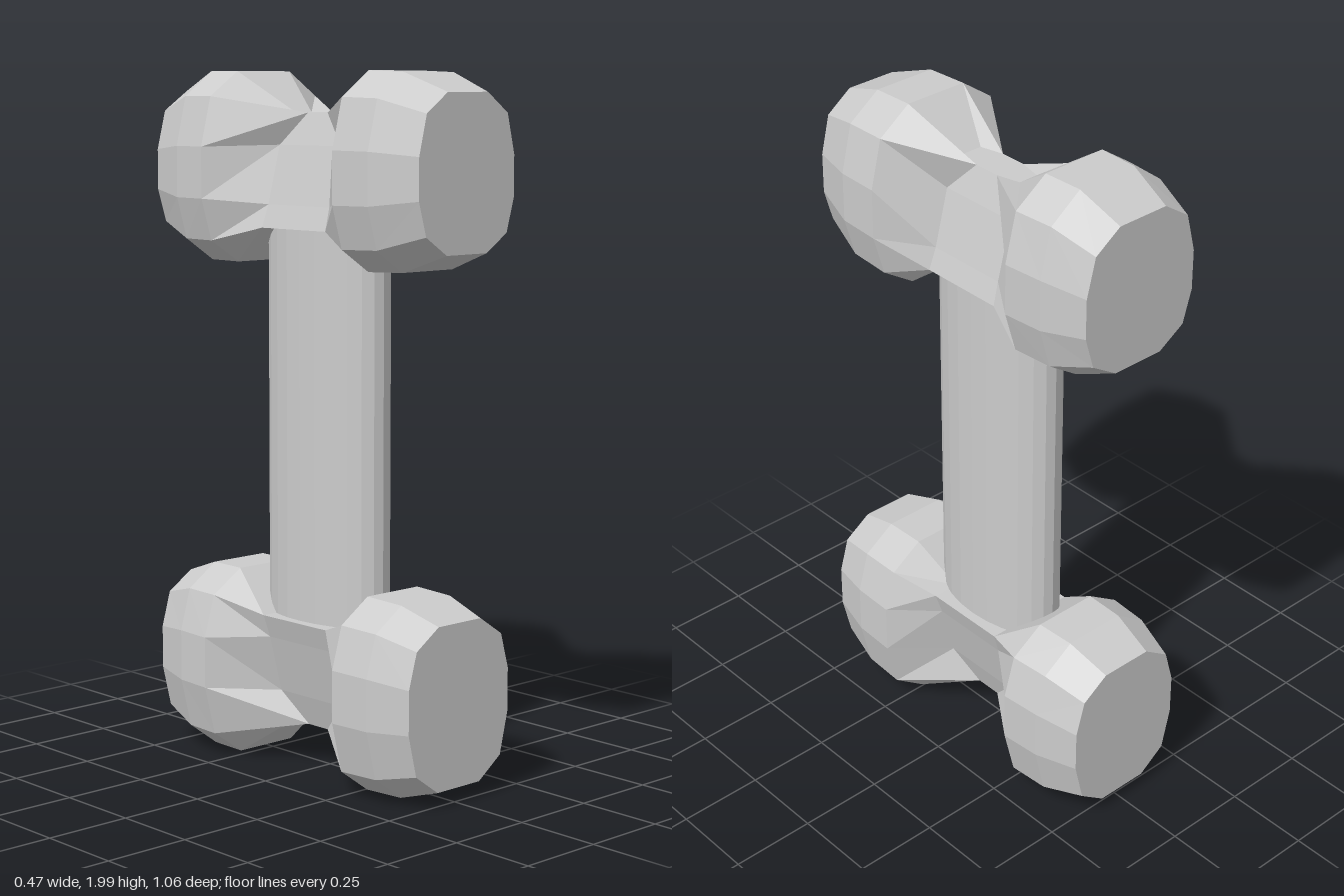
import * as THREE from 'three';

const material = new THREE.MeshStandardMaterial({ color: 0xcccccc, flatShading: true, side: THREE.DoubleSide });

// Right half of the knob outline, bottom to top, in units of its radii
const OUTLINE = [[0.42, -1], [0.85, -0.76], [1, -0.32], [1, 0.22], [0.85, 0.74], [0.42, 1]];
// Right half of the wedge-shaped waist: x, y, z
const WAIST = [[0.06, -0.165, 0.13], [0.14, -0.165, 0.13], [0.12, -0.1, 0.125],
  [0.077, 0.065, 0.125], [0.047, 0.155, 0.04], [0.03, 0.155, 0.11]];

// Full ring from its right half, counter-clockwise seen from the front
const mirrorRing = (half) => [...half, ...[...half].reverse().map(([x, y, z]) => [-x, y, z])];
const knobRing = (z, rx, ry) => mirrorRing(OUTLINE.map(([x, y]) => [x * rx, y * ry, z]));
const waistRing = (side) => mirrorRing(WAIST.map(([x, y, z]) => [x, y, z * side]));

// Skin rings running from front to back and close both ends
function skin(rings) {
  const n = rings[0].length;
  const index = [];
  for (let i = 0; i < rings.length - 1; i++) {
    for (let j = 0; j < n; j++) {
      const k = (j + 1) % n;
      const a = i * n + j, b = i * n + k, c = a + n, d = b + n;
      // Diagonals mirror from left to right
      if (j < n / 2) index.push(a, c, b, b, c, d);
      else index.push(a, d, b, a, c, d);
    }
  }
  const last = (rings.length - 1) * n;
  for (let j = 1; j < n - 1; j++) {
    index.push(0, j, j + 1, last, last + j + 1, last + j);
  }
  const indexed = new THREE.BufferGeometry();
  indexed.setAttribute('position', new THREE.Float32BufferAttribute(rings.flat(2), 3));
  indexed.setIndex(index);
  const geometry = indexed.toNonIndexed();
  geometry.computeVertexNormals();
  return geometry;
}

// Crosspiece: two faceted knobs joined by a narrow waist
function crosspiece(name, frontZ, capX, capY, knobY) {
  const mesh = new THREE.Mesh(skin([
    knobRing(frontZ, capX, capY),
    knobRing(0.385, 0.225, knobY - 0.005),
    knobRing(0.255, 0.23, knobY),
    waistRing(1),
    waistRing(-1),
    knobRing(-0.28, 0.235, knobY),
    knobRing(-0.4, 0.225, knobY),
    knobRing(-0.53, 0.19, capY),
  ]), material);
  mesh.name = name;
  return mesh;
}

export function createModel() {
  const group = new THREE.Group();
  group.name = 'doubleEndedHandle';

  // Upright shaft, oval in section
  const shaftGeometry = new THREE.CylinderGeometry(1, 1, 1.17, 24, 1);
  shaftGeometry.scale(0.112, 1, 0.222);
  const shaft = new THREE.Mesh(shaftGeometry, material);
  shaft.name = 'shaft';
  shaft.position.set(0, 1.005, -0.005);
  group.add(shaft);

  // Upper crosspiece, and the lower one turned upside down
  const upper = crosspiece('upperCrosspiece', 0.53, 0.18, 0.213, 0.27);
  upper.position.y = 1.725;
  const lower = crosspiece('lowerCrosspiece', 0.515, 0.193, 0.23, 0.275);
  lower.position.y = 0.285;
  lower.rotation.z = Math.PI;
  group.add(upper, lower);

  return group;
}
